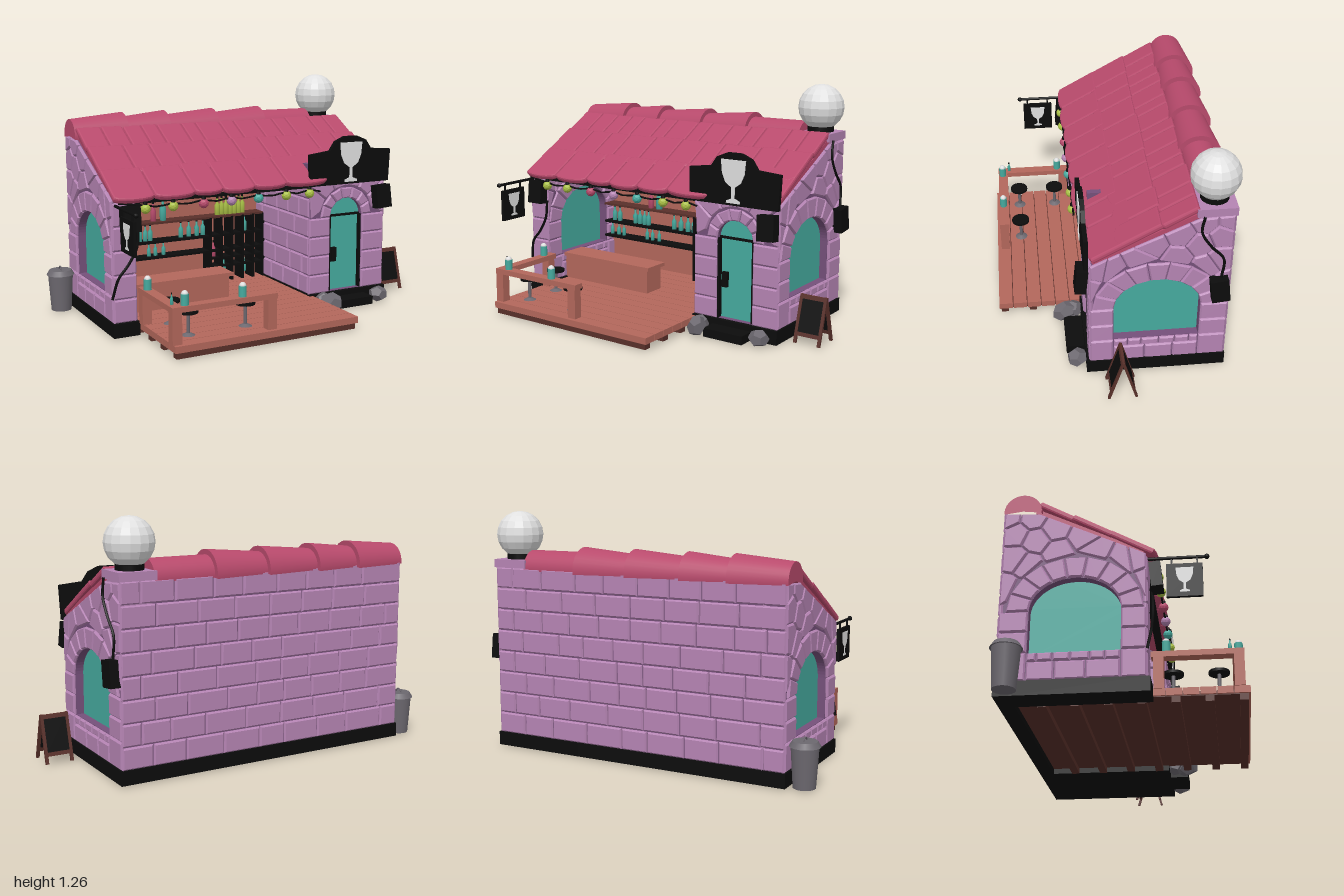
import * as THREE from 'three';
import { mergeGeometries } from 'three/addons/utils/BufferGeometryUtils.js';

const mat = (name, color) => Object.assign(new THREE.MeshStandardMaterial({ color }), { name });
const stone = mat('stone', 0xb584b3), mortar = mat('mortar', 0x75507a), roof = mat('roof tile', 0xb84a6c),
  wood = mat('wood', 0xb3675b), darkWood = mat('dark wood', 0x59302a), teal = mat('teal glass', 0x46ab9f),
  grey = mat('grey metal', 0x6c686f), white = mat('white', 0xe0e0e0), black = mat('black', 0x0c0c0c), lime = mat('lime', 0xa9c044);

let seed = 7;
const rnd = () => (seed = (seed * 16807) % 2147483647) / 2147483647;
const V = (x, y, z) => new THREE.Vector3(x, y, z);

function add(parent, name, geo, material, x = 0, y = 0, z = 0) {
  const m = new THREE.Mesh(geo, material);
  m.name = name;
  m.position.set(x, y, z);
  parent.add(m);
  return m;
}
// box given by its limits
function slab(parent, name, material, x0, x1, y0, y1, z0, z1) {
  return add(parent, name, new THREE.BoxGeometry(x1 - x0, y1 - y0, z1 - z0), material, (x0 + x1) / 2, (y0 + y1) / 2, (z0 + z1) / 2);
}
function group(parent, name, x = 0, y = 0, z = 0, ry = 0) {
  const g = new THREE.Group();
  g.name = name;
  g.position.set(x, y, z);
  g.rotation.y = ry;
  parent.add(g);
  return g;
}
function flat(geo) {
  const g = geo.index ? geo.toNonIndexed() : geo;
  g.computeVertexNormals();
  return g;
}
const shapeOf = pts => new THREE.Shape(pts.map(p => new THREE.Vector2(p[0], p[1])));
const plate = (shape, depth) => new THREE.ExtrudeGeometry(shape, { depth, bevelEnabled: false, curveSegments: 16 });
const tube = (pts, r) => new THREE.TubeGeometry(new THREE.CatmullRomCurve3(pts), 24, r, 6);

// chamfered stones from convex outlines, joined to one geometry
function stones(parent, name, polys) {
  const geos = polys.map(p => p.filter((q, i) => Math.hypot(q[0] - p[(i + 1) % p.length][0], q[1] - p[(i + 1) % p.length][1]) > 0.016))
    .filter(p => p.length > 2)
    .map(p => new THREE.ExtrudeGeometry(shapeOf(p), { depth: 0.006, bevelThickness: 0.008, bevelSize: 0.007, bevelOffset: -0.0095, bevelSegments: 1 }));
  return add(parent, name, mergeGeometries(geos), stone);
}
// staggered rows of blocks
function rows(x0, x1, y0, y1, n, w) {
  const out = [], h = (y1 - y0) / n;
  for (let i = 0; i < n; i++) {
    let x = x0, a = y0 + i * h;
    while (x < x1 - 0.001) {
      let e = x + w * (x === x0 && i % 2 ? 0.55 : 0.75 + 0.5 * rnd());
      if (e > x1 - w * 0.4) e = x1;
      out.push([[x, a], [e, a], [e, a + h], [x, a + h]]);
      x = e;
    }
  }
  return out;
}
// keep the part of a polygon nearer to a than to b
function clip(poly, a, b) {
  const d = p => (p[0] - (a[0] + b[0]) / 2) * (b[0] - a[0]) + (p[1] - (a[1] + b[1]) / 2) * (b[1] - a[1]);
  return poly.flatMap((p, i) => {
    const q = poly[(i + 1) % poly.length], dp = d(p), dq = d(q), out = dp <= 0 ? [p] : [];
    if (dp * dq < 0) out.push([p[0] + (q[0] - p[0]) * dp / (dp - dq), p[1] + (q[1] - p[1]) * dp / (dp - dq)]);
    return out;
  });
}
// arch stones plus irregular rubble around them
function archStones(region, cx, cy, rx, ry, t, n, extra) {
  const at = (a, k, f = 1) => [cx + Math.cos(a) * (rx + k) * f, cy + Math.sin(a) * (ry + k) * f];
  const out = [], ring = [at(0.05, t, 0.8), at(Math.PI - 0.05, t, 0.8)], keep = [...extra];
  for (let i = 0; i < n; i++) {
    const a = Math.PI * i / n, b = Math.PI * (i + 1) / n;
    out.push([at(a, 0), at(a, t), at(b, t), at(b, 0)]);
  }
  for (let i = 0; i < 6; i++) {
    const a = 0.42 + i * 0.46;
    ring.push(at(a, t, 0.88));
    keep.push(at(a, t, 1.12));
  }
  const all = [...keep, ...ring];
  for (const s of keep) out.push(all.reduce((p, o) => (o === s ? p : clip(p, s, o)), region));
  return out;
}
function archPath(Type, cx, y0, cy, rx, ry) {
  const p = new Type();
  p.moveTo(cx - rx, y0).lineTo(cx + rx, y0).lineTo(cx + rx, cy).absellipse(cx, cy, rx, ry, 0, Math.PI, false);
  p.closePath();
  return p;
}
function goblet(parent, s, x, y, z) {
  const half = [[0.04, 0], [0.04, 0.012], [0.009, 0.025], [0.009, 0.08], [0.045, 0.105], [0.065, 0.15], [0.072, 0.22]];
  const pts = [...half, ...half.map(p => [-p[0], p[1]]).reverse()].map(p => [p[0] * s, p[1] * s]);
  return add(parent, 'goblet emblem', plate(shapeOf(pts), 0.006), white, x, y, z);
}
function bottles(parent, material, xs, y, z, s = 1) {
  const prof = [[0, 0], [0.014, 0], [0.014, 0.05], [0.005, 0.065], [0.005, 0.09], [0, 0.09]].map(p => new THREE.Vector2(p[0] * s, p[1] * s));
  for (const x of xs) {
    add(parent, 'bottle', new THREE.LatheGeometry(prof, 8), material, x, y, z);
    add(parent, 'bottle cap', new THREE.CylinderGeometry(0.006 * s, 0.006 * s, 0.012 * s, 8), black, x, y + 0.09 * s, z);
  }
}

function buildWalls(g) {
  // side walls: local x runs to the back, mirrored for the left
  const outline = [[-0.12, 0.07], [0.55, 0.07], [0.55, 0.95], [0.38, 0.94], [-0.12, 0.69]];
  const upper = [[-0.13, 0.42], [0.56, 0.42], [0.56, 0.96], [0.39, 0.95], [-0.13, 0.7]];
  const extra = [[0.17, 0.8], [0.31, 0.86], [0.4, 0.8], [0.5, 0.7], [0.5, 0.84], [0.42, 0.92], [0.54, 0.93], [-0.08, 0.67]];
  const polys = [...archStones(upper, 0.205, 0.42, 0.215, 0.17, 0.11, 9, extra),
    ...rows(-0.13, -0.01, 0.21, 0.42, 2, 0.5), ...rows(0.42, 0.56, 0.21, 0.42, 2, 0.5),
    ...rows(-0.01, 0.42, 0.165, 0.21, 1, 0.08), ...rows(-0.01, 0.42, 0.07, 0.165, 1, 0.14),
    ...rows(-0.13, -0.01, 0.07, 0.21, 1, 0.5), ...rows(0.42, 0.56, 0.07, 0.21, 1, 0.5)];
  for (const s of [1, -1]) {
    const flip = ps => ps.map(p => [p[0] * s, p[1]]);
    const w = group(g, s > 0 ? 'left side wall' : 'right side wall', s > 0 ? 0.79 : -0.835, 0, 0, s * Math.PI / 2);
    const sh = shapeOf(flip(outline));
    sh.holes.push(archPath(THREE.Path, 0.205 * s, 0.21, 0.42, 0.215, 0.17));
    add(w, 'wall core', plate(sh, 0.1), mortar, 0, 0, -0.1);
    stones(w, 'wall stones', polys.map(flip));
    if (s < 0) stones(w, 'inner wall stones', polys.map(flip)).position.z = -0.11;
    add(w, 'arched window', plate(archPath(THREE.Shape, 0.205 * s, 0.2, 0.42, 0.22, 0.175), 0.008), teal, 0, 0, -0.05);
  }
  // back wall
  slab(g, 'back wall core', mortar, -0.83, 0.78, 0.07, 0.96, -0.55, -0.49);
  const back = group(g, 'back wall', 0, 0, -0.55, Math.PI);
  stones(back, 'back wall blocks', rows(-0.8, 0.845, 0.07, 0.965, 8, 0.19));
  // front column beside the bar
  slab(g, 'column core', mortar, -0.835, -0.725, 0.07, 0.69, 0.05, 0.12);
  stones(group(g, 'front column', 0, 0, 0.12), 'column blocks', rows(-0.845, -0.715, 0.07, 0.69, 5, 0.5));
  // door wing
  const wing = group(g, 'door wing', 0, 0, 0.12);
  const sh = shapeOf([[0.31, 0.07], [0.79, 0.07], [0.79, 0.7], [0.31, 0.7]]);
  sh.holes.push(archPath(THREE.Path, 0.545, 0.075, 0.5, 0.105, 0.1));
  add(wing, 'wing core', plate(sh, 0.06), mortar, 0, 0, -0.06);
  stones(wing, 'wing stones', [...archStones([[0.3, 0.5], [0.8, 0.5], [0.8, 0.7], [0.3, 0.7]], 0.545, 0.5, 0.105, 0.1, 0.065, 7, []),
    ...rows(0.3, 0.44, 0.07, 0.5, 4, 0.5), ...rows(0.65, 0.8, 0.07, 0.5, 4, 0.5)]);
  add(wing, 'door', plate(archPath(THREE.Shape, 0.545, 0.07, 0.5, 0.11, 0.105), 0.02), teal, 0, 0, -0.045);
  slab(wing, 'door band', black, 0.44, 0.65, 0.495, 0.508, -0.03, -0.018);
  slab(wing, 'door lock', black, 0.462, 0.492, 0.24, 0.32, -0.03, -0.005);
  for (const x of [0.443, 0.647]) slab(wing, 'door jamb', black, x - 0.006, x + 0.006, 0.07, 0.5, -0.03, 0);
  slab(g, 'wing inner core', mortar, 0.315, 0.345, 0.07, 0.8, -0.5, 0.1);
  stones(group(g, 'wing inner wall', 0.315, 0, 0, -Math.PI / 2), 'wing inner blocks', rows(-0.49, 0.12, 0.07, 0.72, 6, 0.16));
}

function buildRoof(g) {
  const a = Math.atan2(0.29, 0.58);
  const r = group(g, 'roof', 0, 0.675, 0.175);
  r.rotation.x = a - Math.PI / 2;
  add(r, 'roof deck', new THREE.BoxGeometry(1.62, 0.58, 0.025), roof, -0.02, 0.36, 0.005);
  // three overlapping courses of round-ended tiles
  [[0, 0.26, 8, 0.016], [0.2, 0.26, 10, 0.024], [0.41, 0.23, 14, 0.026]].forEach(([u, len, n, lift]) => {
    let x = -0.845;
    for (let i = 0; i < n; i++) {
      const e = i === n - 1 ? 0.8 : -0.845 + 1.645 * (i + 1 + (rnd() - 0.5) * 0.4) / n;
      const w = e - x, y0 = u + rnd() * 0.012 + (u === 0 && x + w / 2 > 0.29 ? 0.05 : 0), c = u ? 0.045 : 0.025;
      const sh = new THREE.Shape();
      sh.moveTo(0, len).lineTo(0, c).bezierCurveTo(w * 0.1, -c * 0.2, w * 0.9, -c * 0.2, w, c).lineTo(w, len);
      const tile = add(r, 'roof tile', new THREE.ExtrudeGeometry(sh, { depth: 0.012, bevelThickness: 0.01, bevelSize: 0.01, bevelOffset: -0.011, bevelSegments: 2, curveSegments: 6 }), roof, x, y0, lift);
      tile.rotation.x = 0.05;
      x = e;
    }
  });
  // flared ridge tiles
  [-0.85, -0.55, -0.3, 0, 0.3].forEach((x, i, xs) => {
    const l = (xs[i + 1] ?? 0.62) - x;
    add(g, 'ridge tile', new THREE.CylinderGeometry(i === 4 ? 0.092 : 0.118, 0.092, l, 18, 1, false, Math.PI * 0.96, Math.PI * 1.08).rotateZ(-Math.PI / 2), roof, x + l / 2, 0.962, -0.47);
  });
  // pillar and globe
  slab(g, 'pillar', stone, 0.63, 0.79, 0.85, 0.97, -0.555, -0.39);
  slab(g, 'pillar cap', stone, 0.61, 0.805, 0.962, 1.005, -0.567, -0.375);
  add(g, 'globe collar', new THREE.CylinderGeometry(0.07, 0.07, 0.03, 16), black, 0.705, 1.018, -0.47);
  add(g, 'globe lamp', flat(new THREE.SphereGeometry(0.122, 16, 10)), white, 0.705, 1.134, -0.47);
}

function buildBar(g) {
  // footing and plank deck
  slab(g, 'wing footing', black, 0.3, 0.805, 0, 0.072, -0.565, 0.145);
  slab(g, 'back footing', black, -0.85, 0.3, 0, 0.072, -0.565, -0.49);
  slab(g, 'side footing', black, -0.85, -0.71, 0, 0.072, -0.49, 0.145);
  for (let i = 0; i < 14; i++) {
    const z = 0.585 - i * 0.077;
    slab(g, 'deck plank', wood, -0.71, 0.322, 0.032, 0.066, z - 0.073, z);
    if (i % 2 === 0) slab(g, 'deck joist', darkWood, -0.7, 0.31, 0, 0.032, z - 0.05, z - 0.01);
  }
  slab(g, 'deck underside', darkWood, -0.7, 0.31, 0.028, 0.05, -0.49, 0.575);
  // L-shaped bar rail
  slab(g, 'front bar top', wood, -0.715, -0.145, 0.222, 0.25, 0.51, 0.565);
  slab(g, 'side bar top', wood, -0.715, -0.66, 0.222, 0.25, 0.135, 0.51);
  for (const [x, z] of [[-0.69, 0.54], [-0.175, 0.54], [-0.69, 0.17]]) slab(g, 'bar post', wood, x - 0.025, x + 0.025, 0.066, 0.222, z - 0.024, z + 0.024);
  for (const [x, z] of [[-0.58, 0.23], [-0.58, 0.445], [-0.265, 0.445]]) {
    const s = group(g, 'stool', x, 0.066, z);
    add(s, 'stool seat', new THREE.CylinderGeometry(0.05, 0.05, 0.014, 16), black, 0, 0.12, 0);
    add(s, 'stool stem', new THREE.CylinderGeometry(0.009, 0.009, 0.11, 8), grey, 0, 0.06, 0);
    add(s, 'stool foot', new THREE.CylinderGeometry(0.012, 0.035, 0.012, 12), grey, 0, 0.006, 0);
  }
  for (const [x, z] of [[-0.69, 0.205], [-0.33, 0.54], [-0.64, 0.54]]) {
    add(g, 'mug', new THREE.CylinderGeometry(0.02, 0.02, 0.055, 10), teal, x, 0.278, z);
    add(g, 'mug froth', new THREE.SphereGeometry(0.018, 10, 6), white, x, 0.305, z);
  }
  bottles(g, teal, [-0.69], 0.25, 0.5, 0.6);
  // counter, back panel, shelves and rack
  slab(g, 'counter', wood, -0.72, -0.12, 0.066, 0.2, -0.15, -0.02);
  slab(g, 'counter top', wood, -0.72, -0.1, 0.2, 0.22, -0.165, -0.005);
  slab(g, 'back panel', wood, -0.73, 0.315, 0.066, 0.88, -0.49, -0.478);
  for (const y of [0.245, 0.335, 0.445]) slab(g, 'shelf', y > 0.4 ? darkWood : black, -0.72, 0.3, y, y + 0.012, -0.478, -0.39);
  for (let i = 0; i < 6; i++) slab(g, 'rack upright', black, -0.056 + i * 0.07, -0.042 + i * 0.07, 0.066, 0.45, -0.478, -0.385);
  for (const y of [0.15, 0.2]) slab(g, 'rack shelf', black, -0.05, 0.3, y, y + 0.01, -0.478, -0.39);
  bottles(g, teal, [-0.67, -0.63, -0.51, -0.475, -0.44, -0.41, -0.22, -0.17, -0.12, -0.08, 0.195], 0.347, -0.43);
  bottles(g, teal, [-0.69, -0.64, -0.6, -0.42, -0.38, -0.33], 0.257, -0.43, 0.8);
  bottles(g, teal, [-0.33], 0.457, -0.43, 1.4);
  bottles(g, roof, [-0.39], 0.457, -0.43, 1.2);
  bottles(g, lime, [0.015, 0.043, 0.071, 0.099, 0.127, 0.155, 0.18], 0.457, -0.43, 1.15);
  bottles(g, roof, [-0.012], 0.21, -0.43);
  bottles(g, teal, [0.055, 0.19], 0.1, -0.43);
  // string lights under the eave
  const xs = [-0.68, -0.53, -0.36, -0.2, -0.04, 0.13, 0.275];
  add(g, 'light string', tube([V(-0.82, 0.69, 0.16), ...xs.flatMap(x => [V(x, 0.672, 0.17), V(x + 0.07, 0.66, 0.17)])], 0.005), black);
  [lime, lime, roof, stone, teal, lime, lime].forEach((m, i) => {
    add(g, 'string bulb', flat(new THREE.IcosahedronGeometry(0.026, 1)), m, xs[i], 0.655, 0.172);
    add(g, 'bulb socket', new THREE.CylinderGeometry(0.01, 0.013, 0.018, 8), black, xs[i], 0.683, 0.172);
  });
  slab(g, 'eave beam', black, -0.72, 0.3, 0.675, 0.69, 0.09, 0.13);
}

function buildProps(g) {
  // sign over the door
  const sign = shapeOf([[-0.26, 0], [0.255, 0], [0.265, 0.18], [0.135, 0.19], [0.1, 0.24], [0.04, 0.265], [-0.04, 0.265], [-0.1, 0.24], [-0.135, 0.19], [-0.265, 0.175]]);
  add(g, 'door sign', plate(sign, 0.022), black, 0.55, 0.685, 0.136);
  goblet(g, 1, 0.55, 0.697, 0.157);
  // hanging sign, both faces
  const h = group(g, 'hanging sign', -0.825, 0, 0.305);
  add(h, 'sign pole', new THREE.CylinderGeometry(0.008, 0.008, 0.29, 8).rotateX(Math.PI / 2), black, 0, 0.675, -0.035);
  add(h, 'pole end', new THREE.SphereGeometry(0.013, 8, 6), black, 0, 0.675, 0.105);
  slab(h, 'sign board', black, -0.008, 0.008, 0.468, 0.64, -0.085, 0.085);
  for (const z of [-0.06, 0.06]) slab(h, 'sign link', black, -0.004, 0.004, 0.63, 0.675, z - 0.004, z + 0.004);
  for (const s of [1, -1]) goblet(group(h, 'sign face', 0, 0, 0, s * Math.PI / 2), 0.58, 0, 0.49, 0.005);
  // speakers and cables
  for (const [x, y, z, rx, rz] of [[-0.76, 0.61, 0.168, -0.1, 0], [0.755, 0.6, 0.168, -0.1, 0.06]]) slab(g, 'front speaker', black, x - 0.047, x + 0.047, y - 0.065, y + 0.065, z - 0.028, z + 0.028).rotation.set(rx, 0, rz);
  slab(g, 'side speaker', black, 0.795, 0.85, 0.467, 0.597, -0.55, -0.46).rotation.x = 0.12;
  add(g, 'side cable', tube([V(0.81, 0.97, -0.41), V(0.812, 0.88, -0.4), V(0.812, 0.79, -0.45), V(0.812, 0.71, -0.515), V(0.815, 0.6, -0.51)], 0.007), black);
  add(g, 'front cable', tube([V(-0.71, 0.56, 0.145), V(-0.72, 0.46, 0.148), V(-0.77, 0.37, 0.148), V(-0.82, 0.31, 0.148), V(-0.85, 0.2, 0.13)], 0.007), black);
  // doorstep and rocks
  slab(g, 'doorstep', black, 0.43, 0.66, 0, 0.045, 0.14, 0.24);
  for (const [x, y, z, sx, sy, sz, t] of [[0.385, 0.03, 0.23, 0.05, 0.055, 0.075, 0.4], [0.37, 0.025, 0.18, 0.05, 0.05, 0.05, 1], [0.73, 0.025, 0.19, 0.055, 0.045, 0.055, 0.7]]) {
    const m = add(g, 'rock', flat(new THREE.DodecahedronGeometry(1)), grey, x, y, z);
    m.scale.set(sx, sy, sz);
    m.rotation.y = t;
    m.position.y = sy * 0.85;
  }
  // bin
  const bin = group(g, 'bin', -0.92, 0, -0.495);
  add(bin, 'bin body', new THREE.CylinderGeometry(0.068, 0.055, 0.2, 18), grey, 0, 0.1, 0);
  add(bin, 'bin lid', new THREE.CylinderGeometry(0.06, 0.076, 0.026, 18), grey, 0, 0.212, 0);
  add(bin, 'lid handle', new THREE.TorusGeometry(0.02, 0.004, 6, 10, Math.PI), grey, 0, 0.222, 0).rotation.y = Math.PI / 2;
  // folding menu board
  for (const s of [1, -1]) {
    const b = group(g, 'menu board', 0.925, 0.24, -0.018);
    b.rotation.x = -s * 0.284;
    for (const x of [-0.066, 0.066]) slab(b, 'board leg', darkWood, x - 0.008, x + 0.008, -0.248, 0, -0.006, 0.006);
    for (const y of [-0.012, -0.2]) slab(b, 'board rail', darkWood, -0.072, 0.072, y - 0.01, y + 0.01, -0.006, 0.006);
    slab(b, 'board panel', black, -0.06, 0.06, -0.195, -0.015, -0.004, 0.004);
  }
}

export function createModel() {
  const g = new THREE.Group();
  g.name = 'tavern';
  for (const build of [buildWalls, buildRoof, buildBar, buildProps]) build(g);
  return g;
}
